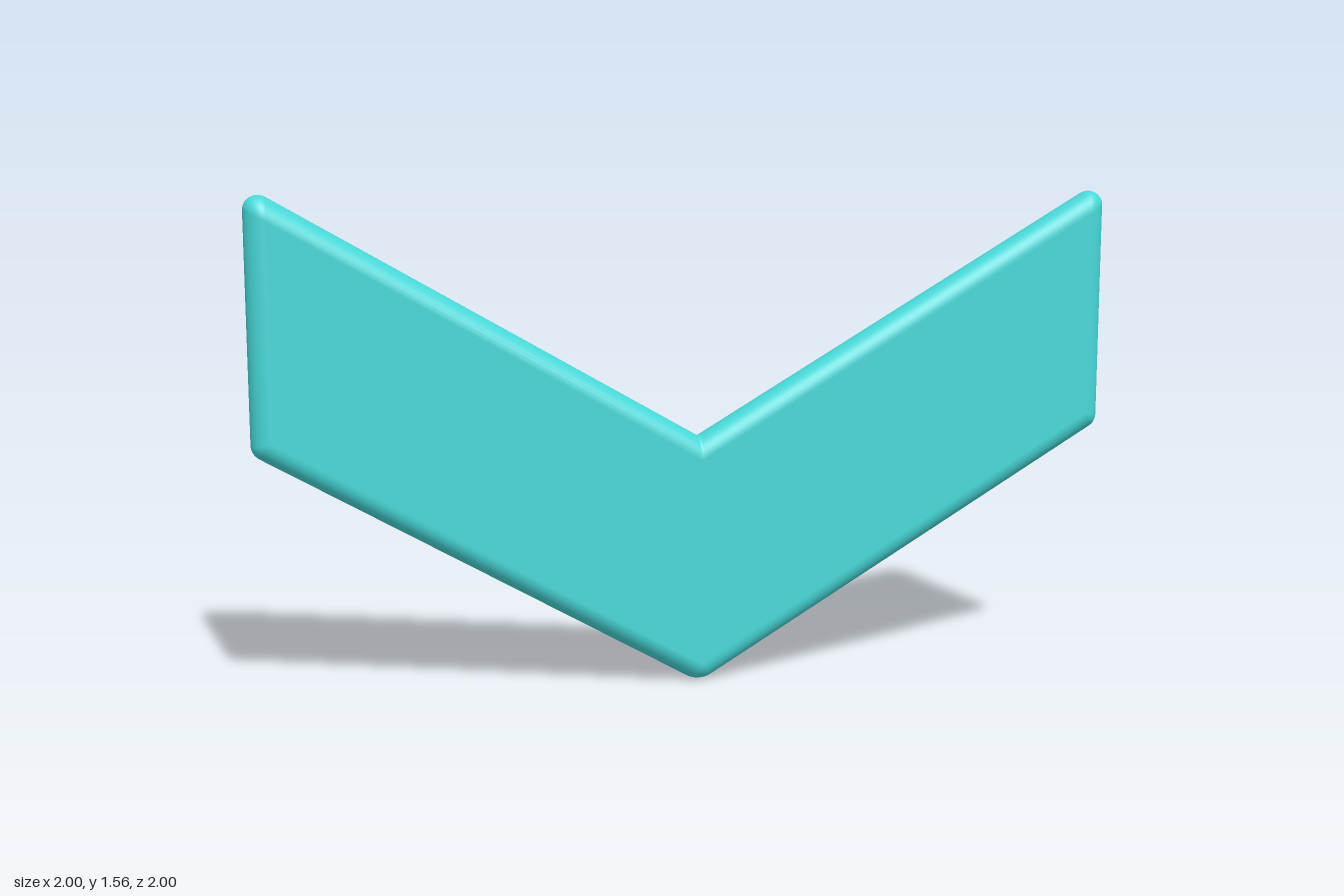
import * as THREE from 'three';

const R = 0.0625;        // half thickness, fully rounded rim
const HALF = 1.388;      // half span along the plate
const SLOPE = Math.tan(Math.PI / 6);
const ARC = 8;           // segments per rounded corner
const RIM = 16;          // segments across the rim

// Outline corners, anticlockwise: position and corner radius
const corners = [
  [0, -0.012, 0.08],
  [HALF, -0.012 + SLOPE * HALF, 0.05],
  [HALF, 0.795 + SLOPE * HALF, 0.045],
  [0, 0.795, 0.015],
  [-HALF, 0.795 + SLOPE * HALF, 0.045],
  [-HALF, -0.012 + SLOPE * HALF, 0.05],
].map(([x, y, r]) => ({ p: new THREE.Vector2(x, y), r }));

// Outline points, each paired with its mitred core corner
function buildOutline() {
  const pts = [];
  const n = corners.length;
  corners.forEach(({ p, r }, i) => {
    const a = p.clone().sub(corners[(i + n - 1) % n].p).normalize();
    const b = corners[(i + 1) % n].p.clone().sub(p).normalize();
    const nA = new THREE.Vector2(a.y, -a.x);
    const nB = new THREE.Vector2(b.y, -b.x);
    const miter = nA.clone().add(nB).divideScalar(1 + nA.dot(nB));
    const turn = Math.sign(a.cross(b)); // negative at the inner notch
    const core = p.clone().addScaledVector(miter, -R);
    const center = p.clone().addScaledVector(miter, -r * turn);
    const start = nA.angle();
    const sweep = Math.atan2(a.cross(b), a.dot(b));
    for (let k = 0; k <= ARC; k++) {
      const t = start + sweep * k / ARC;
      const rim = new THREE.Vector2(Math.cos(t), Math.sin(t)).multiplyScalar(r * turn).add(center);
      pts.push({ core, rim });
    }
  });
  return pts;
}

function chevronGeometry() {
  const outline = buildOutline();
  const n = outline.length;
  const position = [];
  const index = [];
  // Rings from the back face round the rim to the front face
  for (let j = 0; j <= RIM; j++) {
    const phi = -Math.PI / 2 + Math.PI * j / RIM;
    for (const { core, rim } of outline) {
      const q = core.clone().lerp(rim, Math.cos(phi));
      position.push(q.x, q.y, R * Math.sin(phi));
    }
  }
  for (let j = 0; j < RIM; j++) {
    for (let i = 0; i < n; i++) {
      const a = j * n + i, b = j * n + (i + 1) % n;
      index.push(a, b, b + n, a, b + n, a + n);
    }
  }
  // Flat faces: two quads meeting at the centre line
  const corner = (i) => i * (ARC + 1) + ARC / 2;
  for (const quad of [[0, 1, 2, 3], [0, 3, 4, 5]]) {
    const [a, b, c, d] = quad.map(corner);
    const f = RIM * n;
    index.push(a + f, b + f, c + f, a + f, c + f, d + f);
    index.push(a, c, b, a, d, c);
  }
  const geometry = new THREE.BufferGeometry();
  geometry.setAttribute('position', new THREE.Float32BufferAttribute(position, 3));
  geometry.setIndex(index);
  geometry.computeVertexNormals();
  // The corner points share one place on each flat face, so share its normal
  const normal = geometry.attributes.normal;
  for (let i = 0; i < n; i++) {
    normal.setXYZ(i, 0, 0, -1);
    normal.setXYZ(RIM * n + i, 0, 0, 1);
  }
  return geometry;
}

export function createModel() {
  const group = new THREE.Group();
  const plate = new THREE.Mesh(
    chevronGeometry(),
    new THREE.MeshStandardMaterial({ color: 0x48d8d8 })
  );
  plate.name = 'chevronPlate';
  plate.rotation.y = Math.PI / 4; // plate stands on the diagonal
  group.add(plate);
  return group;
}
